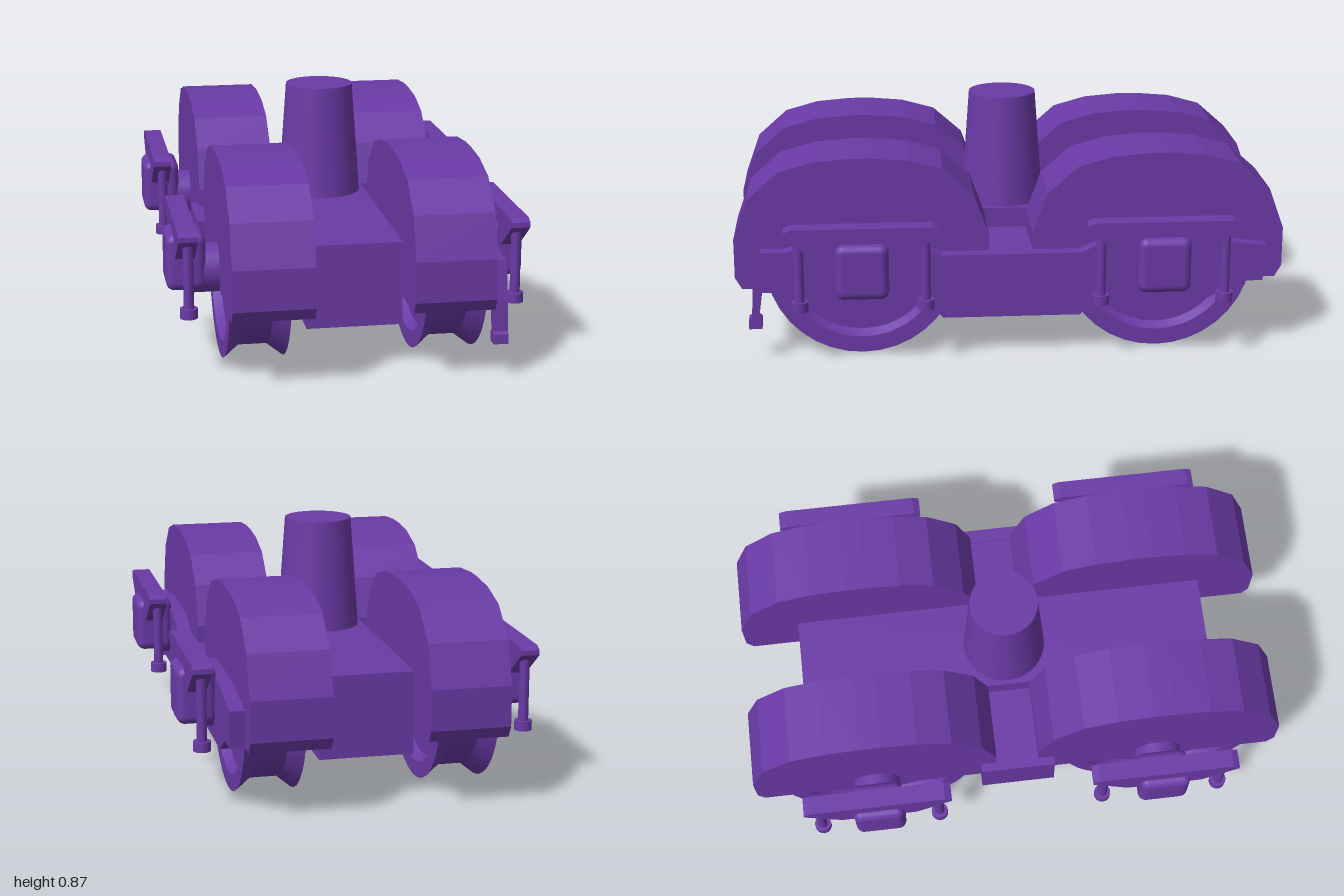
import * as THREE from 'three';
import { toCreasedNormals } from 'three/addons/utils/BufferGeometryUtils.js';
import { RoundedBoxGeometry } from 'three/addons/geometries/RoundedBoxGeometry.js';

const AXLE_Z = 0.54;

export function createModel() {
  const model = new THREE.Group();
  model.name = 'wheelTruck';
  const purple = new THREE.MeshStandardMaterial({ color: 0x6a3aa6 });
  purple.name = 'purple';

  function add(name, geometry, x = 0, y = 0, z = 0) {
    const mesh = new THREE.Mesh(geometry, purple);
    mesh.name = name;
    mesh.position.set(x, y, z);
    model.add(mesh);
    return mesh;
  }

  // Side profile given as [z, y] pairs, extruded along x and centred on x = 0
  function sideProfile(points, width) {
    const shape = new THREE.Shape(points.map(([z, y]) => new THREE.Vector2(z, y)));
    const geometry = new THREE.ExtrudeGeometry(shape, { depth: width, bevelEnabled: false });
    geometry.rotateY(-Math.PI / 2);
    geometry.translate(width / 2, 0, 0);
    return geometry;
  }

  // Half profile (z >= 0, in order) completed with its mirror image
  const mirrored = (half) => [...half, ...half.map(([z, y]) => [-z, y]).reverse()];

  // Central beam, cross member and pivot post
  add('centreBeam', new THREE.BoxGeometry(0.34, 0.3, 1.56), 0, 0.305, 0);
  add('crossMember', new THREE.BoxGeometry(0.97, 0.185, 0.28), 0, 0.288, 0);
  add('pivotPost', new THREE.CylinderGeometry(0.125, 0.155, 0.415, 40), 0, 0.6625, 0);

  // Wheel covers with a faceted arched top
  const cover = sideProfile(mirrored([
    [0.435, 0.257], [0.46, 0.3], [0.46, 0.445], [0.406, 0.594],
    [0.295, 0.692], [0.17, 0.727], [0.04, 0.738],
  ]), 0.284);

  // Double-flanged wheel, recessed on both faces
  const wheelProfile = [
    [0, -0.075], [0.27, -0.075], [0.29, -0.107], [0.35, -0.107], [0.305, -0.053],
    [0.305, 0.05], [0.35, 0.107], [0.29, 0.107], [0.27, 0.075], [0, 0.075],
  ].map(([r, x]) => new THREE.Vector2(r, x));
  const wheel = toCreasedNormals(
    new THREE.LatheGeometry(wheelProfile, 36).rotateZ(-Math.PI / 2), 0.5);

  const hub = new THREE.CylinderGeometry(0.088, 0.088, 0.12, 28).rotateZ(Math.PI / 2);
  const axleBox = new RoundedBoxGeometry(0.14, 0.205, 0.19, 4, 0.03);

  // Spring with a flat top and a bowed underside
  const spring = sideProfile(mirrored([
    [0.14, 0.4], [0.21, 0.45], [0.275, 0.497], [0.275, 0.515], [0.25, 0.527],
  ]), 0.068);
  const rod = new THREE.CylinderGeometry(0.018, 0.018, 0.29, 16);
  const nut = new THREE.CylinderGeometry(0.031, 0.031, 0.035, 16);

  for (const side of [1, -1]) {
    for (const end of [1, -1]) {
      const z = AXLE_Z * end;
      add('wheelCover', cover, 0.312 * side, 0, z);
      add('wheel', wheel, 0.343 * side, 0.35, z);
      add('axleHub', hub, 0.49 * side, 0.324, z);
      add('axleBox', axleBox, 0.572 * side, 0.368, z);
      add('spring', spring, 0.581 * side, 0, z);
      for (const offset of [0.225, -0.225]) {
        add('hangerRod', rod, 0.578 * side, 0.365, z + offset);
        add('hangerNut', nut, 0.578 * side, 0.231, z + offset);
      }
    }
  }

  // Side frame on the left only, deeper between the wheels
  const frame = sideProfile([
    [0.25, 0.147], [0.3, 0.2], [0.72, 0.2], [0.82, 0.26], [0.935, 0.26], [0.905, 0.41],
    [0.82, 0.41], [0.72, 0.432], [0.36, 0.432], [0.25, 0.385],
    [-0.25, 0.385], [-0.36, 0.432], [-0.72, 0.432], [-0.82, 0.41], [-0.93, 0.395],
    [-0.92, 0.263], [-0.82, 0.26], [-0.72, 0.2], [-0.3, 0.2], [-0.25, 0.147],
  ], 0.052);
  add('sideFrame', frame, 0.483, 0, 0);

  // Rail guard arm hanging from the front end of the side frame
  const guard = sideProfile([
    [0.905, 0.122], [0.952, 0.122], [0.952, 0.157], [0.94, 0.165], [0.935, 0.27],
    [0.9, 0.27], [0.915, 0.165], [0.905, 0.157],
  ], 0.052);
  add('railGuard', guard, 0.483, 0, 0);

  return model;
}
